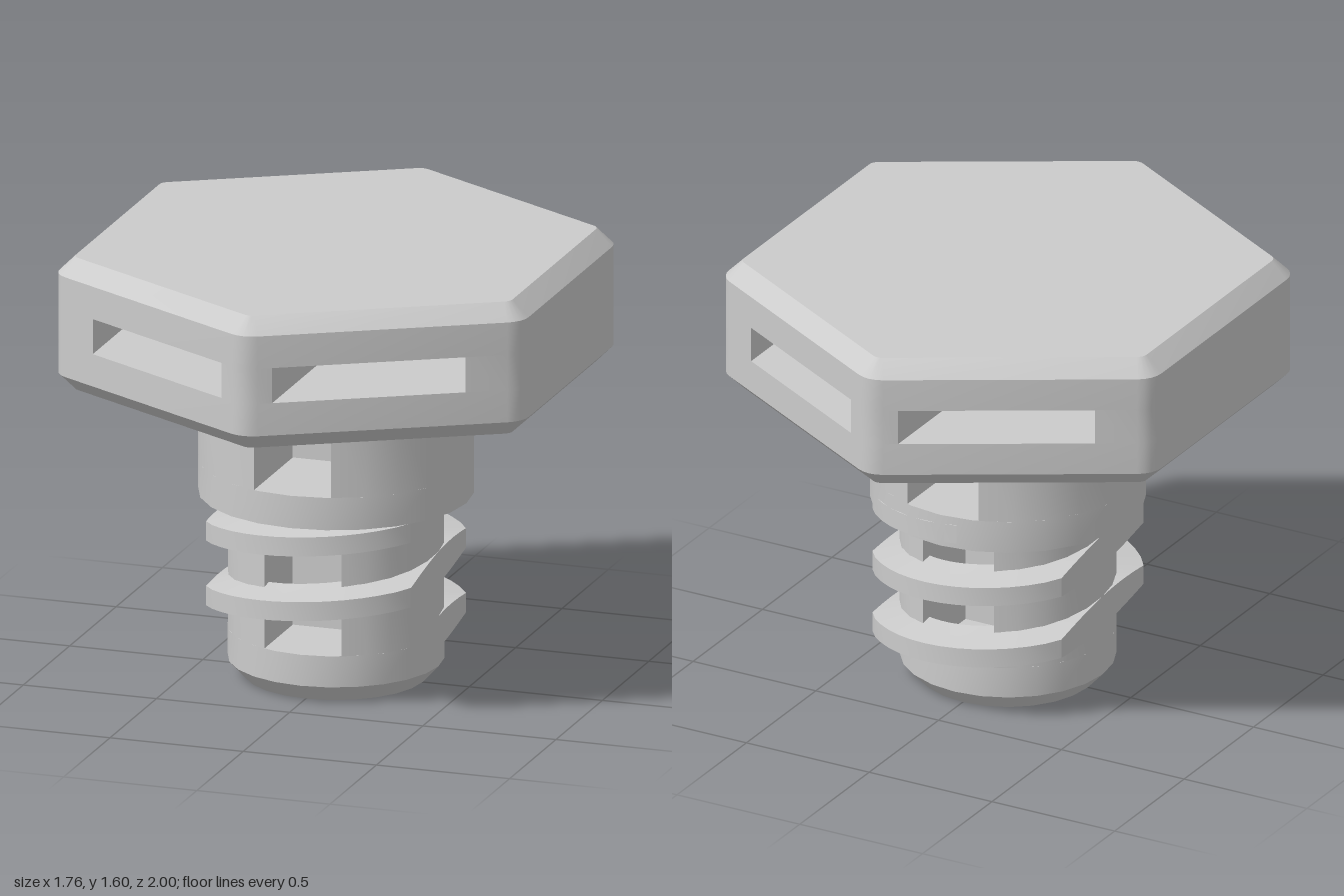
import * as THREE from 'three';
import { toCreasedNormals } from 'three/addons/utils/BufferGeometryUtils.js';

const CREASE = 0.5;
const WEB = 0.05; // half thickness of the wall between front and back pockets
const CORE = 0.385, OUTER = 0.49; // shaft and collar radii
const rad = THREE.MathUtils.degToRad;

// Capped skin over rings of [x, y, z] points
function loft(rings) {
  const pos = [], n = rings[0].length;
  const tri = (a, b, c) => pos.push(...a, ...b, ...c);
  for (let i = 0; i < rings.length - 1; i++) {
    for (let j = 0; j < n; j++) {
      const k = (j + 1) % n, lo = rings[i], hi = rings[i + 1];
      tri(lo[j], lo[k], hi[k]);
      tri(lo[j], hi[k], hi[j]);
    }
  }
  const end = rings[rings.length - 1];
  for (let j = 1; j < n - 1; j++) {
    tri(rings[0][0], rings[0][j + 1], rings[0][j]);
    tri(end[0], end[j], end[j + 1]);
  }
  const g = new THREE.BufferGeometry();
  g.setAttribute('position', new THREE.Float32BufferAttribute(pos, 3));
  return toCreasedNormals(g, CREASE);
}

// Upright prism from a plan outline
function prism(points, y0, y1) {
  const shape = new THREE.Shape(points.map(([x, y]) => new THREE.Vector2(x, y)));
  const g = new THREE.ExtrudeGeometry(shape, { depth: y1 - y0, bevelEnabled: false });
  g.rotateX(-Math.PI / 2).translate(0, y0, 0);
  return toCreasedNormals(g, CREASE);
}

const atHeight = (points, y) => points.map(([x, p]) => [x, y, -p]);

function arc(cx, cy, r, from, to, steps) {
  return Array.from({ length: steps + 1 }, (_, i) => {
    const a = from + ((to - from) * i) / steps;
    return [cx + r * Math.cos(a), cy + r * Math.sin(a)];
  });
}

const circle = (r) => arc(0, 0, r, 0, Math.PI * 2, 24).slice(0, 24);

// Hexagon with rounded corners, optionally with a pocket in four of its sides
function hexagon(apothem, round, pockets) {
  const points = [], near = 0.095, far = 0.7;
  const edge = (x) => (apothem - 0.5 * Math.abs(x)) / Math.cos(Math.PI / 6);
  const cuts = { 0: [far, near], 1: [-near, -far], 3: [-far, -near], 4: [near, far] };
  for (let k = 0; k < 6; k++) {
    const a = rad(30 + 60 * k), d = (apothem - round) / Math.cos(Math.PI / 6);
    points.push(...arc(d * Math.cos(a), d * Math.sin(a), round, a - rad(30), a + rad(30), 4));
    if (pockets && cuts[k]) {
      const [x0, x1] = cuts[k], s = k < 2 ? 1 : -1;
      points.push([x0, s * edge(x0)], [x0, s * WEB], [x1, s * WEB], [x1, s * edge(x1)]);
    }
  }
  return points;
}

// Round section with a deep slot in front and back
function slottedRound(r) {
  const w = 0.145, a = Math.acos(w / r);
  return [
    ...arc(0, 0, r, -a, a, 10), [w, WEB], [-w, WEB],
    ...arc(0, 0, r, Math.PI - a, Math.PI + a, 10), [-w, -WEB], [w, -WEB],
  ];
}

// Helical ridge, trimmed flat where it passes the two sides of the shaft
function thread() {
  const rings = [], root = 0.34, top = OUTER - 0.001;
  for (let deg = -270; deg <= 550; deg += 7.5) {
    const s = Math.sin(rad(deg)), c = Math.cos(rad(deg));
    const y = 0.37 + (0.24 * deg) / 360;
    const r = Math.min(top, CORE / Math.max(Math.abs(s), 0.01));
    const h = THREE.MathUtils.mapLinear(r, CORE, OUTER, 0.06, 0.035);
    const at = (radius, height) => [radius * s, height, radius * c];
    rings.push([at(root, y - 0.06), at(root, y + 0.06), at(r, y + h), at(r, y - h)]);
  }
  return loft(rings);
}

export function createModel() {
  const model = new THREE.Group();
  const material = new THREE.MeshStandardMaterial({ color: 0xcccccc });
  const add = (parent, name, geometry) => {
    const mesh = new THREE.Mesh(geometry, material);
    mesh.name = name;
    parent.add(mesh);
  };

  // Hexagonal head: chamfered bottom and top around a pocketed layer
  const head = new THREE.Group();
  head.name = 'head';
  const full = hexagon(0.88, 0.1), inset = hexagon(0.82, 0.04);
  add(head, 'headBottom', loft([atHeight(inset, 1.11), atHeight(full, 1.17), atHeight(full, 1.29)]));
  add(head, 'headPocketLayer', prism(hexagon(0.88, 0.1, true), 1.29, 1.42));
  add(head, 'headTop', loft([atHeight(full, 1.42), atHeight(full, 1.54), atHeight(inset, 1.6)]));

  // Collar: slotted above a solid ring
  const collar = new THREE.Group();
  collar.name = 'collar';
  add(collar, 'collarSlotted', prism(slottedRound(OUTER), 0.8, 1.11));
  add(collar, 'collarRing', loft([atHeight(circle(OUTER), 0.68), atHeight(circle(OUTER), 0.8)]));

  // Shaft: chamfered tip, slotted core and thread
  const shaft = new THREE.Group();
  shaft.name = 'shaft';
  add(shaft, 'tip', loft([
    atHeight(circle(0.325), 0), atHeight(circle(CORE), 0.065), atHeight(circle(CORE), 0.18),
  ]));
  add(shaft, 'slottedCore', prism(slottedRound(CORE), 0.18, 0.68));
  add(shaft, 'thread', thread());

  model.add(head, collar, shaft);
  return model;
}
